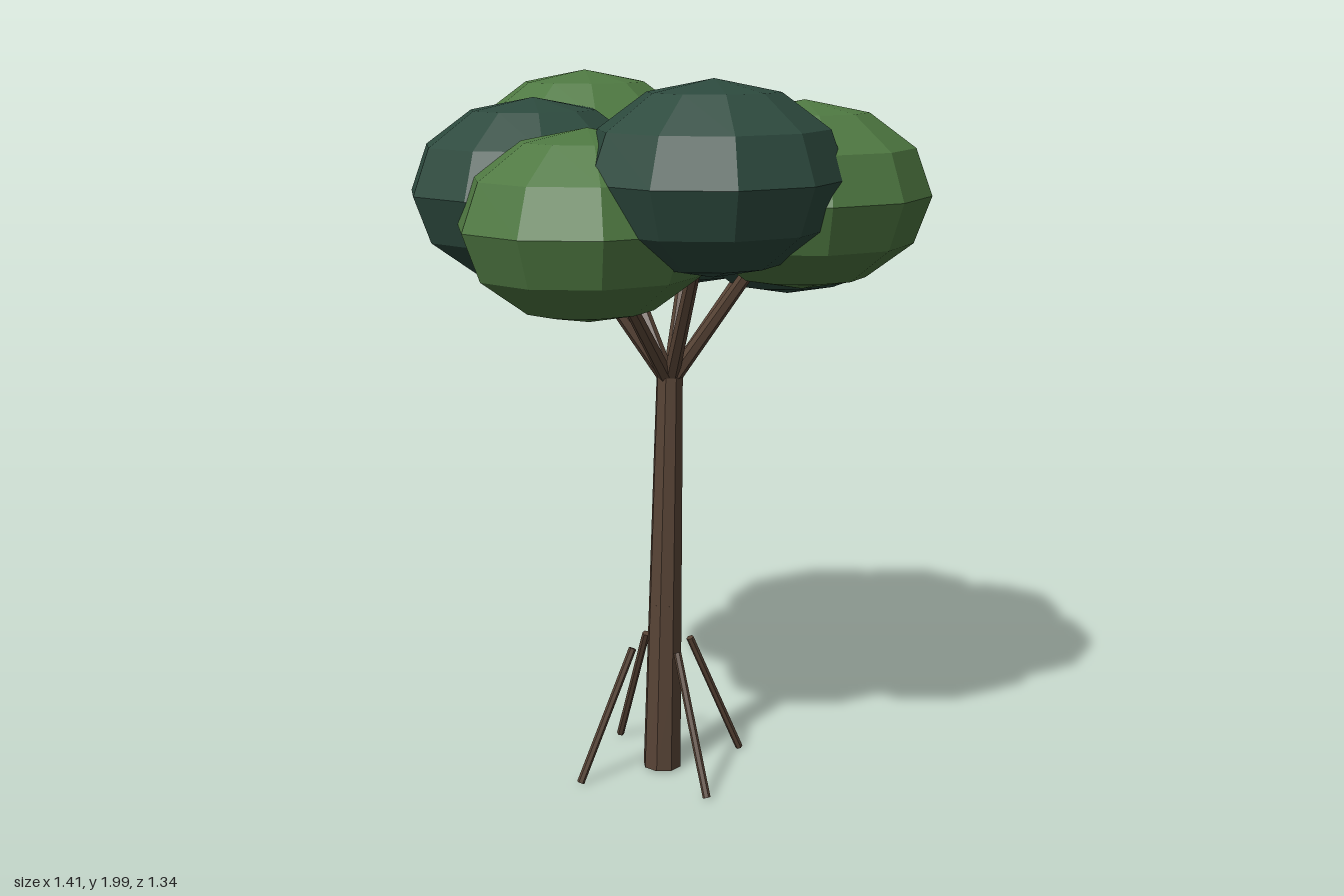
import * as THREE from 'three';

export function createModel() {
  const model = new THREE.Group();
  const material = (name, color) => {
    const m = new THREE.MeshStandardMaterial({ color });
    m.name = name;
    return m;
  };
  const bark = material('bark brown', 0x574335);
  const darkLeaf = material('dark green', 0x2d4a3e);
  const lightLeaf = material('light green', 0x4f7942);
  const UP = new THREE.Vector3(0, 1, 0);

  const flat = (geometry) => {
    const g = geometry.toNonIndexed();
    g.computeVertexNormals();
    return g;
  };

  // Faceted tapered rod between two points
  function rod(name, a, b, rBottom, rTop, sides) {
    const dir = b.clone().sub(a);
    const geometry = flat(new THREE.CylinderGeometry(rTop, rBottom, dir.length(), sides));
    const mesh = new THREE.Mesh(geometry, bark);
    mesh.name = name;
    mesh.position.copy(a).add(b).multiplyScalar(0.5);
    mesh.quaternion.setFromUnitVectors(UP, dir.normalize());
    model.add(mesh);
  }

  // Trunk: stacked, gently leaning segments that step inwards
  const segments = 5;
  const base = new THREE.Vector3(-0.057, 0.012, 0);
  const top = new THREE.Vector3(-0.03, 1.17, 0);
  for (let i = 0; i < segments; i++) {
    const a = base.clone().lerp(top, i / segments);
    const b = base.clone().lerp(top, Math.min(1, (i + 1.15) / segments));
    const r = 0.056 - i * 0.0035;
    rod('trunkSegment', a, b, r, r - 0.004, 8);
  }

  // Crown: seven leaf clumps in a ring, each on its own branch
  const clumpGeometry = flat(new THREE.SphereGeometry(1, 10, 6));
  const heights = [1.625, 1.6875, 1.75];
  const fork = new THREE.Vector3(-0.03, 1.15, 0);
  for (let i = 0; i < 7; i++) {
    const angle = (i / 7) * Math.PI * 2;
    const centre = new THREE.Vector3(
      -0.02 + 0.375 * Math.cos(angle), heights[i % 3], 0.375 * Math.sin(angle));
    const clump = new THREE.Mesh(clumpGeometry, i % 2 ? lightLeaf : darkLeaf);
    clump.name = 'leafClump';
    clump.scale.set(0.35, 0.25, 0.318);
    clump.position.copy(centre);
    model.add(clump);
    rod('branch', fork, centre, 0.022, 0.015, 6);
  }

  // Four leaning support stakes around the trunk
  for (let i = 0; i < 4; i++) {
    const c = Math.cos((i * Math.PI) / 2), s = Math.sin((i * Math.PI) / 2);
    const at = (r, y) => new THREE.Vector3(-0.058 + r * c, y, r * s);
    rod('supportStake', at(0.264, 0.012), at(0.094, 0.388), 0.011, 0.011, 6);
  }
  // Rest the lowest stake corners on the ground
  const box = new THREE.Box3().setFromObject(model, true);
  model.children.forEach((part) => { part.position.y -= box.min.y; });
  return model;
}
